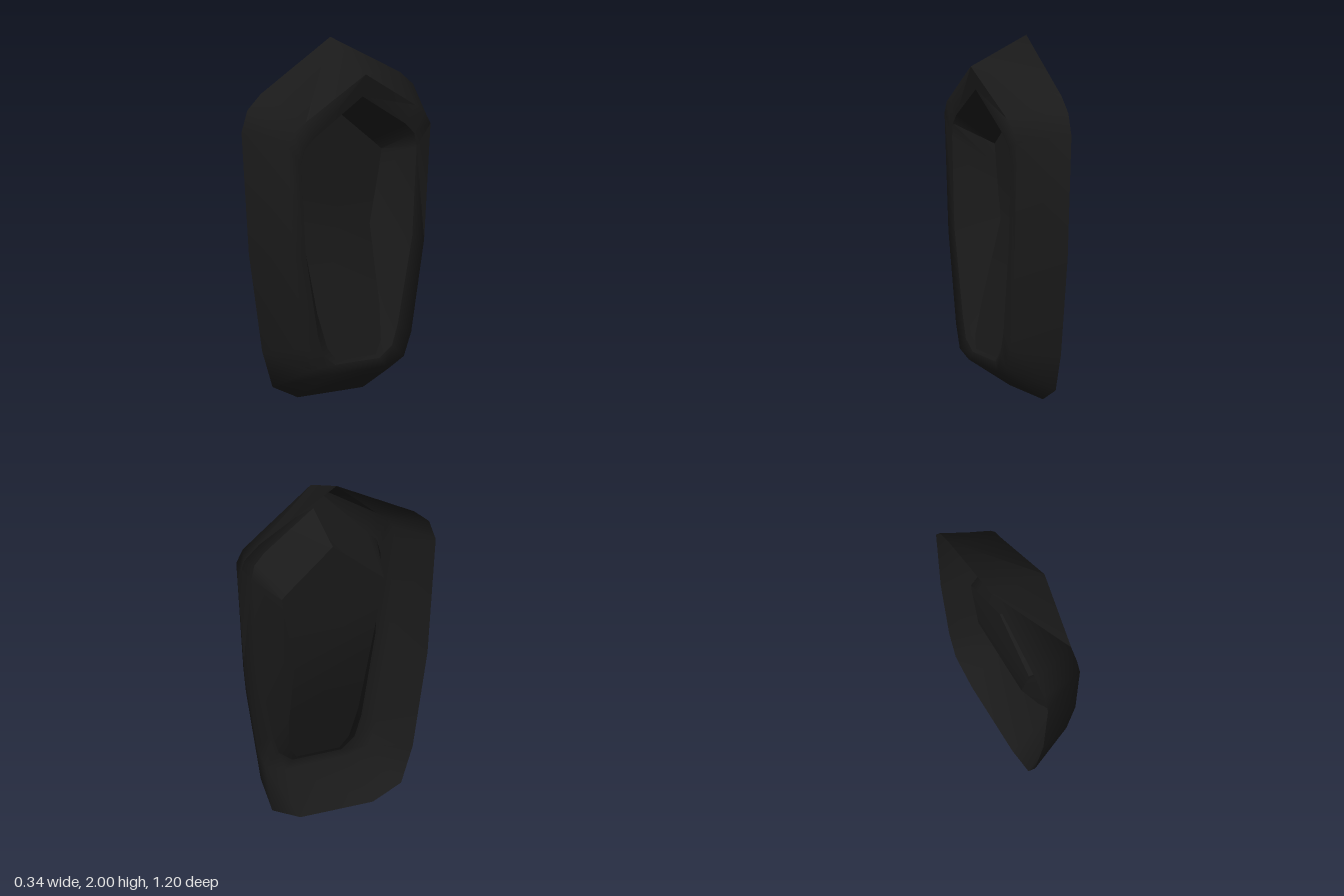
import * as THREE from 'three';
import { toCreasedNormals } from 'three/addons/utils/BufferGeometryUtils.js';

// Half outlines as [x, y, z], running from the top centre down the +z side
const backEdge = [[-0.17, 2, 0], [-0.17, 1.74, 0.47], [-0.17, 1.66, 0.56], [-0.17, 1.54, 0.6],
  [-0.17, 0.85, 0.55], [-0.17, 0.29, 0.46], [-0.17, 0.08, 0.39], [-0.17, 0, 0.22]];
const ridge = [[0.165, 1.85, 0], [0.115, 1.62, 0.37], [0.11, 1.57, 0.44], [0.105, 1.5, 0.48],
  [0.1, 0.85, 0.44], [0.09, 0.34, 0.36], [0.09, 0.21, 0.31], [0.09, 0.17, 0.19]];
const innerRim = [[0.135, 1.72, 0], [0.11, 1.52, 0.31], [0.105, 1.46, 0.37], [0.1, 1.38, 0.39],
  [0.1, 0.88, 0.36], [0.09, 0.4, 0.27], [0.09, 0.28, 0.23], [0.085, 0.22, 0.15]];
const floorEdge = [[-0.12, 1.6, 0], [-0.12, 1.4, 0.24], [-0.12, 1.34, 0.31], [-0.12, 1.22, 0.29],
  [-0.12, 0.93, 0.23], [0, 0.5, 0.21], [0.055, 0.31, 0.18], [0.075, 0.24, 0.13]];

// Closes a half outline by mirroring it across z = 0
const closeLoop = (half) => [...half, ...half.slice(1).reverse().map(([x, y, z]) => [x, y, -z])];

function buildMesh(name, points, index, material, crease) {
  const g = new THREE.BufferGeometry();
  g.setAttribute('position', new THREE.Float32BufferAttribute(points.flat(), 3));
  g.setIndex(index);
  const mesh = new THREE.Mesh(toCreasedNormals(g, crease), material);
  mesh.name = name;
  return mesh;
}

// Band of quads through successive closed loops
function band(name, halves, material, crease) {
  const loops = halves.map(closeLoop);
  const n = loops[0].length;
  const index = [];
  for (let r = 0; r < loops.length - 1; r++) {
    for (let i = 0; i < n; i++) {
      const j = (i + 1) % n;
      const a = r * n + i, b = r * n + j, c = b + n, d = a + n;
      index.push(a, b, c, a, c, d);
    }
  }
  return buildMesh(name, loops.flat(), index, material, crease);
}

// Panel filling a loop with strips from side to side
function panel(name, half, material) {
  const loop = closeLoop(half);
  const n = loop.length;
  const index = [];
  for (let i = 0; i < half.length - 1; i++) {
    const q0 = (n - i) % n, q1 = n - i - 1;
    index.push(i, i + 1, q1);
    if (i > 0) index.push(i, q1, q0);
  }
  return buildMesh(name, loop, index, material, 0.3);
}

export function createModel() {
  const group = new THREE.Group();
  group.name = 'hollowShell';
  const material = new THREE.MeshStandardMaterial({ color: 0x1a1a1a, side: THREE.DoubleSide });
  // Outer wall and rim, open at the back
  group.add(band('outerShell', [backEdge, ridge, innerRim], material, 1.2));
  // Recess walls and the recessed floor
  group.add(band('recessWall', [innerRim, floorEdge], material, 0.8));
  group.add(panel('recessFloor', floorEdge, material));
  return group;
}
